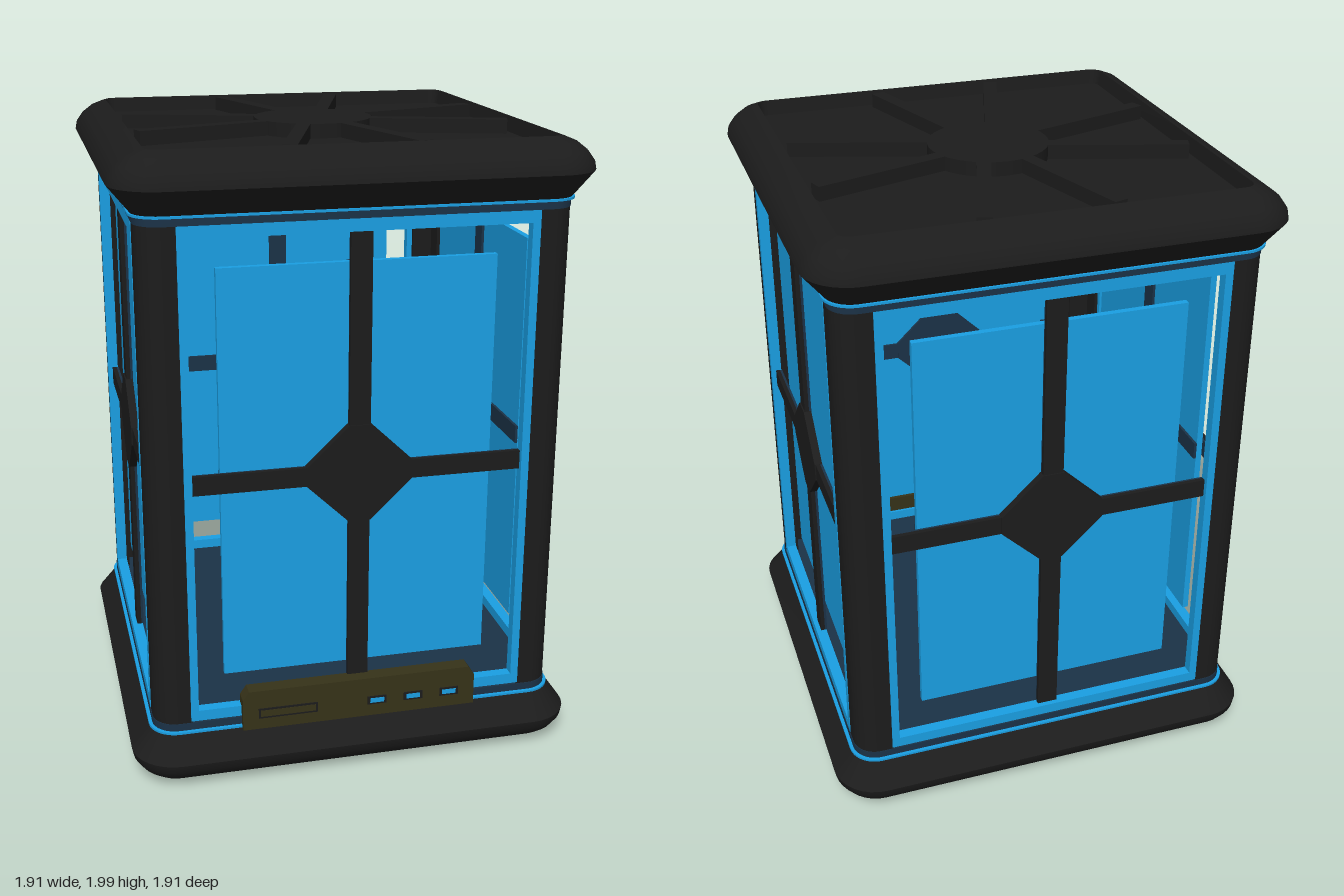
import * as THREE from 'three';
import { toCreasedNormals } from 'three/addons/utils/BufferGeometryUtils.js';

const CORNER = 0.578; // centre of each rounded corner

const mat = (name, color) => {
  const m = new THREE.MeshStandardMaterial({ color });
  m.name = name;
  return m;
};

// Solid lofted through rounded squares; profile entries are [corner radius, y], bottom to top
function roundedLoft(profile, seg = 8) {
  const pos = [];
  const rings = profile.map(([r, y]) => {
    const ring = [];
    for (let q = 0; q < 4; q++) {
      const mid = Math.PI / 4 + q * Math.PI / 2;
      const cx = Math.sign(Math.cos(mid)) * CORNER, cz = Math.sign(Math.sin(mid)) * CORNER;
      for (let i = 0; i <= seg; i++) {
        const a = (q + i / seg) * Math.PI / 2;
        ring.push([cx + r * Math.cos(a), y, cz + r * Math.sin(a)]);
      }
    }
    return ring;
  });
  const tri = (a, b, c) => pos.push(...a, ...b, ...c);
  const n = rings[0].length, last = rings.length - 1;
  for (let k = 0; k < n; k++) {
    const m = (k + 1) % n;
    for (let j = 0; j < last; j++) {
      tri(rings[j][k], rings[j + 1][k], rings[j][m]);
      tri(rings[j][m], rings[j + 1][k], rings[j + 1][m]);
    }
    tri([0, profile[0][1], 0], rings[0][k], rings[0][m]);
    tri([0, profile[last][1], 0], rings[last][m], rings[last][k]);
  }
  const g = new THREE.BufferGeometry();
  g.setAttribute('position', new THREE.Float32BufferAttribute(pos, 3));
  return toCreasedNormals(g, 0.6);
}

const polygon = (pts) => new THREE.Shape(pts.map(([x, y]) => new THREE.Vector2(x, y)));
const rect = (w, y0, y1) => [[-w, y0], [w, y0], [w, y1], [-w, y1]];

// Angle-section corner post with a rounded outer corner, standing along y
function cornerPost() {
  const inner = CORNER + 0.03, outer = CORNER + 0.075, end = 0.535;
  const s = new THREE.Shape();
  s.moveTo(end, inner);
  s.lineTo(inner, inner);
  s.lineTo(inner, end);
  s.lineTo(outer, end);
  s.lineTo(outer, CORNER);
  s.absarc(CORNER, CORNER, 0.075, 0, Math.PI / 2, false);
  s.lineTo(end, outer);
  const g = new THREE.ExtrudeGeometry(s, { depth: 1.64, bevelEnabled: false, curveSegments: 10 });
  g.rotateX(-Math.PI / 2).translate(0, 0.1825, 0);
  return toCreasedNormals(g, 0.6);
}

export function createModel() {
  const black = mat('charcoal', 0x1c1c1c);
  const blue = mat('bright blue', 0x1a9fe3);
  const navy = mat('dark navy', 0x1b3247);
  const olive = mat('dark olive', 0x363218);

  const model = new THREE.Group();
  model.name = 'lantern';
  const body = new THREE.Group();
  body.name = 'body';
  body.rotation.y = -0.6435;
  model.add(body);

  const add = (parent, name, geo, material, x = 0, y = 0, z = 0) => {
    const m = new THREE.Mesh(geo, material);
    m.name = name;
    m.position.set(x, y, z);
    parent.add(m);
    return m;
  };
  const box = (parent, name, material, w, h, d, x, y, z) =>
    add(parent, name, new THREE.BoxGeometry(w, h, d), material, x, y, z);
  const plate = (parent, name, material, shape, depth, z) =>
    add(parent, name, new THREE.ExtrudeGeometry(shape, { depth, bevelEnabled: false }), material, 0, 0, z);

  // Lid and base: the same cap, turned over for the base
  const capGeo = roundedLoft([
    [0.08, 1.82], [0.145, 1.9], [0.14, 1.925], [0.118, 1.955], [0.085, 1.98],
    [0.05, 1.994], [0.036, 1.998], [0.028, 1.95],
  ]);
  const trimGeo = roundedLoft([[0.088, 1.814], [0.088, 1.821]]);
  const linerGeo = roundedLoft([[0.077, 1.79], [0.077, 1.814]]);

  for (const name of ['lid', 'base']) {
    const cap = new THREE.Group();
    cap.name = name;
    if (name === 'base') {
      cap.rotation.x = Math.PI;
      cap.position.y = 2.005;
    }
    body.add(cap);
    add(cap, name + 'Shell', capGeo, black);
    add(cap, name + 'Trim', trimGeo, blue);
    add(cap, name + 'Liner', linerGeo, navy);

    // Hub and paired raised spokes
    add(cap, name + 'Hub', new THREE.CylinderGeometry(0.19, 0.19, 0.05, 32), black, 0, 1.97, 0);
    for (let k = 0; k < 4; k++) {
      const fan = new THREE.Group();
      fan.name = 'spokePair';
      fan.rotation.y = k * Math.PI / 2;
      cap.add(fan);
      for (const s of [-1, 1]) {
        const spoke = box(fan, 'spoke', black, 0.045, 0.05, 0.44, s * 0.135, 1.97, 0.38);
        spoke.rotation.y = s * Math.atan2(0.13, 0.41);
      }
    }
  }

  // Window frame outline with its opening
  const frameShape = polygon(rect(0.54, 0.22, 1.79));
  frameShape.holes.push(polygon(rect(0.515, 0.255, 1.752)));
  // Octagonal boss where the bars cross
  const boss = polygon([
    [0.035, -0.155], [0.165, -0.03], [0.165, 0.03], [0.035, 0.155],
    [-0.035, 0.155], [-0.165, 0.03], [-0.165, -0.03], [-0.035, -0.155],
  ].map(([x, y]) => [x, y + 1.003]));

  const postGeo = cornerPost();
  for (let k = 0; k < 4; k++) {
    const side = new THREE.Group();
    side.name = 'side' + (k + 1);
    side.rotation.y = k * Math.PI / 2;
    body.add(side);
    add(side, 'cornerPost', postGeo, black);
    plate(side, 'windowFrame', blue, frameShape, 0.035, 0.62);
    box(side, 'innerPanel', blue, 0.85, 1.305, 0.02, 0, 1.0025, 0.6);

    // Crossed bars outside the panel, backed in navy
    box(side, 'uprightBar', black, 0.066, 1.51, 0.014, 0, 1.0025, 0.632);
    box(side, 'crossBar', black, 1.035, 0.06, 0.014, 0, 1.0025, 0.632);
    plate(side, 'centreBoss', black, boss, 0.025, 0.618);
    box(side, 'uprightBacking', navy, 0.064, 1.51, 0.008, 0, 1.0025, 0.621);
    box(side, 'crossBacking', navy, 1.035, 0.058, 0.008, 0, 1.0025, 0.621);

    // Matching dark cross on the inside of the panel
    box(side, 'innerUprightBar', navy, 0.064, 1.305, 0.009, 0, 1.0025, 0.586);
    box(side, 'innerCrossBar', navy, 0.85, 0.058, 0.009, 0, 1.0025, 0.586);
    plate(side, 'innerBoss', navy, boss, 0.012, 0.579);
  }

  // Control panel on one side
  const control = new THREE.Group();
  control.name = 'controlPanel';
  control.rotation.y = Math.PI / 2;
  body.add(control);
  const face = polygon([
    [-0.38, 0.18], [0.38, 0.18], [0.38, 0.285], [0.36, 0.314], [-0.36, 0.314], [-0.38, 0.285],
  ]);
  plate(control, 'controlHousing', olive, face, 0.05, 0.63);
  box(control, 'controlSlot', black, 0.19, 0.034, 0.006, -0.235, 0.235, 0.68);
  box(control, 'controlSlotCover', olive, 0.178, 0.022, 0.008, -0.235, 0.235, 0.68);
  for (const x of [0.055, 0.175, 0.295]) {
    box(control, 'buttonSurround', black, 0.062, 0.028, 0.006, x, 0.235, 0.68);
    box(control, 'button', blue, 0.046, 0.016, 0.009, x, 0.235, 0.68);
  }
  return model;
}
